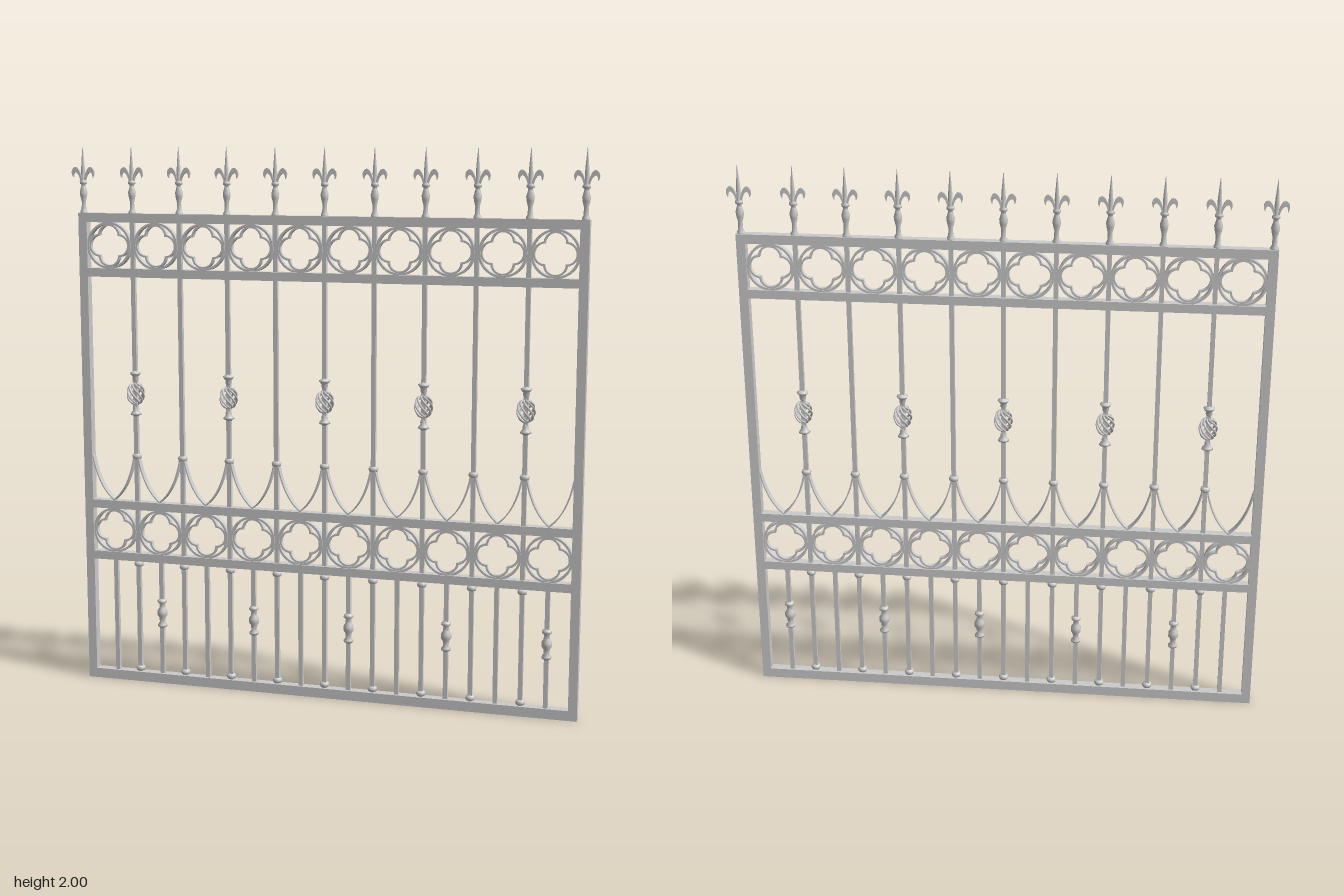
import * as THREE from 'three';

const mat = new THREE.MeshStandardMaterial({ color: 0xcccccc });
const thinMat = new THREE.MeshStandardMaterial({ color: 0xcccccc, side: THREE.DoubleSide });
const PITCH = 0.1812;   // spacing of the main bars
const DEPTH = 0.034;    // depth of the frame

export function createModel() {
  const gate = new THREE.Group();
  gate.name = 'gate';

  const add = (name, geo, x = 0, y = 0, m = mat, parent = gate) => {
    const mesh = new THREE.Mesh(geo, m);
    mesh.name = name;
    mesh.position.set(x, y, 0);
    parent.add(mesh);
    return mesh;
  };
  const box = (name, x, y0, y1, w, d) =>
    add(name, new THREE.BoxGeometry(w, y1 - y0, d), x, (y0 + y1) / 2);
  const lathe = (pts, sides = 10) =>
    new THREE.LatheGeometry(pts.map(p => new THREE.Vector2(...p)), sides);
  const extrude = (shape, depth, curveSegments = 10) =>
    new THREE.ExtrudeGeometry(shape, { depth, bevelEnabled: false, curveSegments })
      .translate(0, 0, -depth / 2);

  // Outer frame and rails
  for (const s of [-1, 1]) box('framePost', s * 0.914, 0, 1.76, 0.032, DEPTH);
  for (const [y0, y1] of [[0, 0.036], [0.466, 0.497], [0.663, 0.694], [1.529, 1.56], [1.727, 1.76]])
    box('rail', 0, y0, y1, 1.8, DEPTH);

  // Turned collars
  const ring = lathe([[0.008, -0.01], [0.015, -0.008], [0.018, 0], [0.015, 0.008], [0.008, 0.01]]);
  const flare = lathe([[0.008, -0.022], [0.012, -0.012], [0.011, -0.004], [0.018, 0.004],
    [0.021, 0.01], [0.012, 0.014], [0.008, 0.018]]);
  const knuckle = lathe([[0.008, -0.058], [0.017, -0.052], [0.018, -0.045], [0.01, -0.036],
    [0.012, -0.018], [0.019, -0.008], [0.019, 0.008], [0.012, 0.018], [0.01, 0.034],
    [0.018, 0.042], [0.017, 0.05], [0.008, 0.056]]);

  // Twisted basket strand, repeated around the bar
  const strandPts = [];
  for (let i = 0; i <= 8; i++) {
    const t = i / 8, a = t * Math.PI, r = 0.008 + 0.022 * Math.sin(Math.PI * t);
    strandPts.push(new THREE.Vector3(r * Math.cos(a), -0.037 * Math.cos(a), r * Math.sin(a)));
  }
  const strand = new THREE.TubeGeometry(new THREE.CatmullRomCurve3(strandPts), 16, 0.004, 6);

  // Tall bars
  for (let i = -4; i <= 4; i++) {
    const x = i * PITCH;
    box('tallBar', x, 0.03, 1.74, 0.016, 0.016);
    add('strapCollar', ring, x, 0.865);
    add('footCollar', ring, x, 0.048);
    add('headCollar', ring, x, 0.454);
    if (i % 2) continue;
    const basket = new THREE.Group();
    basket.name = 'basket';
    basket.position.set(x, 1.1, 0);
    gate.add(basket);
    for (let k = 0; k < 8; k++)
      add('basketStrand', strand, 0, 0, mat, basket).rotation.y = k * Math.PI / 4;
    add('basketTopCollar', flare, 0, 0.068, mat, basket);
    add('basketBottomCollar', flare, 0, -0.068, mat, basket).rotation.x = Math.PI;
  }

  // Quatrefoil: four lobes of radius r centred at distance c
  const quatrefoil = (path, c, r) => {
    const t = (c + Math.sqrt(2 * r * r - c * c)) / 2;
    const a = Math.atan2(t, t - c);
    for (let k = 0; k < 4; k++) {
      const q = k * Math.PI / 2;
      path.absarc(c * Math.cos(q), c * Math.sin(q), r, q - a, q + a, false);
    }
    return path;
  };
  const foilShape = quatrefoil(new THREE.Shape(), 0.036, 0.042);
  foilShape.holes.push(quatrefoil(new THREE.Path(), 0.036, 0.035));
  const foil = extrude(foilShape, 0.018, 12);
  const circleShape = new THREE.Shape().absarc(0, 0, 0.085, 0, Math.PI * 2, false);
  circleShape.holes.push(new THREE.Path().absarc(0, 0, 0.077, 0, Math.PI * 2, true));
  const circle = extrude(circleShape, 0.024, 32);

  // Thin U-shaped strap between neighbouring bars
  const strapShape = new THREE.Shape();
  strapShape.moveTo(-0.086, 0.865);
  strapShape.quadraticCurveTo(-0.063, 0.742, 0, 0.693);
  strapShape.quadraticCurveTo(0.063, 0.742, 0.086, 0.865);
  strapShape.lineTo(0.081, 0.865);
  strapShape.quadraticCurveTo(0.059, 0.745, 0, 0.699);
  strapShape.quadraticCurveTo(-0.059, 0.745, -0.081, 0.865);
  const strap = extrude(strapShape, 0.026);

  // One bay per gap: two quatrefoil roundels, a strap and a short bar
  for (let i = 0; i < 10; i++) {
    const x = (i - 4.5) * PITCH;
    for (const y of [0.579, 1.643]) {
      add('roundel', circle, x, y);
      add('quatrefoil', foil, x, y);
    }
    add('strap', strap, x, 0, thinMat);
    box('shortBar', x, 0.03, 0.47, 0.016, 0.016);
    if (i % 2) add('shortBarKnuckle', knuckle, x, 0.27);
  }

  // Finial: turned stem, flat spear and two curling leaves
  const stem = lathe([[0.014, 0], [0.014, 0.006], [0.009, 0.014], [0.008, 0.04], [0.013, 0.06],
    [0.015, 0.075], [0.009, 0.095], [0.008, 0.102], [0.014, 0.106], [0.014, 0.114],
    [0.007, 0.12], [0.008, 0.15], [0.006, 0.18], [0.0005, 0.24]], 8);
  const leafShape = new THREE.Shape();
  leafShape.moveTo(0.002, 0.108);
  leafShape.bezierCurveTo(0.008, 0.15, 0.022, 0.172, 0.034, 0.164);
  leafShape.bezierCurveTo(0.045, 0.156, 0.046, 0.142, 0.038, 0.128);
  leafShape.bezierCurveTo(0.038, 0.142, 0.032, 0.15, 0.026, 0.146);
  leafShape.bezierCurveTo(0.018, 0.142, 0.012, 0.13, 0.008, 0.108);
  const leaf = extrude(leafShape, 0.01, 6);
  for (let i = -5; i <= 5; i++) {
    const finial = new THREE.Group();
    finial.name = 'finial';
    finial.position.set(Math.abs(i) === 5 ? Math.sign(i) * 0.914 : i * PITCH, 1.76, 0);
    gate.add(finial);
    add('finialStem', stem, 0, 0, mat, finial);
    for (const turn of [0, Math.PI])
      add('finialLeaf', leaf, 0, 0, mat, finial).rotation.y = turn;
  }
  return gate;
}
